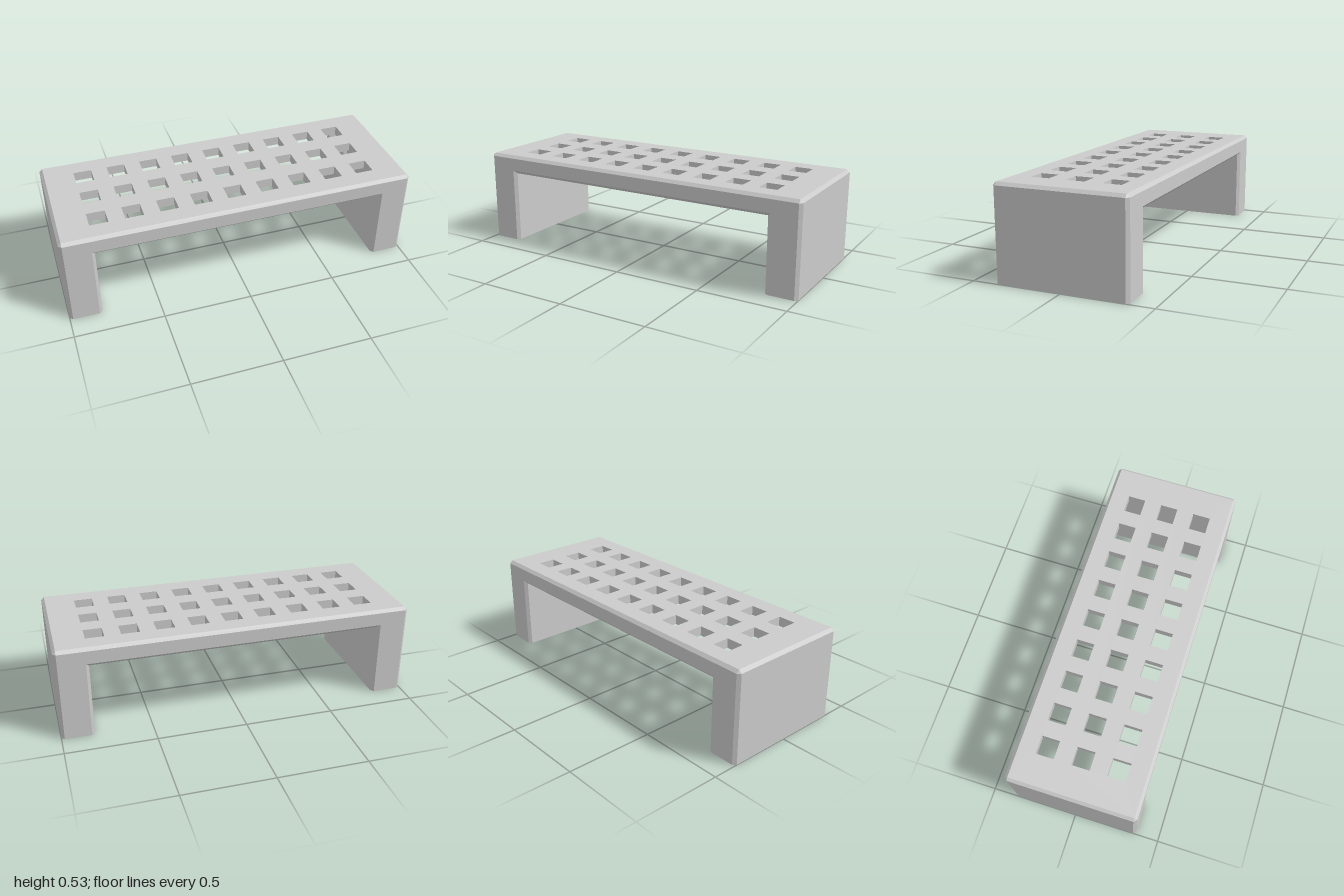
import * as THREE from 'three';

const H = 0.527, D = 0.367, C = 0.017;      // height, half depth, chamfer
const INNER = 0.818, UNDER = 0.419;         // inner leg wall, lower edge of the rim
const X = 1 - C, Y = H - C, Z = D - C;      // extents of the flat faces

const material = new THREE.MeshStandardMaterial({
  color: 0xcccccc, side: THREE.DoubleSide, flatShading: true,
});

// Flat-shaded band between two point rows of equal length
function band(a, b) {
  const pos = [];
  for (let i = 0; i < a.length - 1; i++) {
    pos.push(...a[i], ...b[i], ...b[i + 1], ...a[i], ...b[i + 1], ...a[i + 1]);
  }
  const g = new THREE.BufferGeometry();
  g.setAttribute('position', new THREE.Float32BufferAttribute(pos, 3));
  g.computeVertexNormals();
  return g;
}

const atZ = (path, z) => path.map(([x, y]) => [x, y, z]);
const toPoints = (path) => path.map(([x, y]) => new THREE.Vector2(x, y));

// Square outline around a centre
function square(cx, cy, r) {
  return [[cx - r, cy - r], [cx + r, cy - r], [cx + r, cy + r], [cx - r, cy + r]];
}

export function createModel() {
  const model = new THREE.Group();
  const add = (name, geometry) => {
    const mesh = new THREE.Mesh(geometry, material);
    mesh.name = name;
    model.add(mesh);
    return mesh;
  };

  // Outlines of the arch: doubled corners make the small corner triangles
  const outerFace = [[-X, 0], [-X, Y], [-X, Y], [X, Y], [X, Y], [X, 0]];
  const outerBody = [[-1, 0], [-1, Y], [-X, H], [X, H], [1, Y], [1, 0]];
  const innerFace = [[INNER + C, 0], [INNER + C, UNDER + C], [-INNER - C, UNDER + C], [-INNER - C, 0]];
  const innerBody = [[INNER, 0], [INNER, UNDER], [-INNER, UNDER], [-INNER, 0]];

  // Front and back arch panels with chamfered edges
  const arch = new THREE.Shape(toPoints([[-X, 0], [-X, Y], [X, Y], [X, 0], ...innerFace]));
  for (const s of [1, -1]) {
    const side = s > 0 ? 'front' : 'back';
    const panel = new THREE.ShapeGeometry(arch);
    if (s < 0) panel.rotateY(Math.PI);
    panel.translate(0, 0, s * D);
    add(side + 'Panel', panel);
    const chamfer = (face, body) => s > 0
      ? band(atZ(body, Z), atZ(face, D))
      : band(atZ(face, -D), atZ(body, -Z));
    add(side + 'OuterChamfer', chamfer(outerFace, outerBody));
    add(side + 'InnerChamfer', chamfer(innerFace, innerBody));
  }

  // End walls with their top chamfer, and the inner walls of the hollow legs
  for (const s of [1, -1]) {
    const side = s > 0 ? 'left' : 'right';
    const end = [[s, 0], [s, Y], [s * X, H]];
    const inner = [[s * INNER, 0], [s * INNER, UNDER]];
    add(side + 'EndWall', band(atZ(end, s * Z), atZ(end, -s * Z)));
    add(side + 'InnerLegWall', band(atZ(inner, -s * Z), atZ(inner, s * Z)));
  }

  // Deck plate pierced by a grid of square holes, each with a short sleeve below
  const deck = new THREE.Shape(toPoints([[-X, -Z], [X, -Z], [X, Z], [-X, Z]]));
  const sleeves = new THREE.Group();
  sleeves.name = 'holeSleeves';
  for (let row = -1; row <= 1; row++) {
    for (let col = -4; col <= 4; col++) {
      const outline = square(col * 0.192, row * 0.2, 0.051);
      deck.holes.push(new THREE.Path(toPoints(outline).reverse()));
      const loop = [...outline, outline[0]];
      const ring = (y) => loop.map(([x, z]) => [x, y, z]);
      const sleeve = new THREE.Mesh(band(ring(H), ring(H - 0.053)), material);
      sleeve.name = 'holeSleeve';
      sleeves.add(sleeve);
    }
  }
  const deckGeometry = new THREE.ShapeGeometry(deck);
  deckGeometry.rotateX(-Math.PI / 2);
  deckGeometry.translate(0, H, 0);
  add('deck', deckGeometry);
  model.add(sleeves);

  return model;
}
